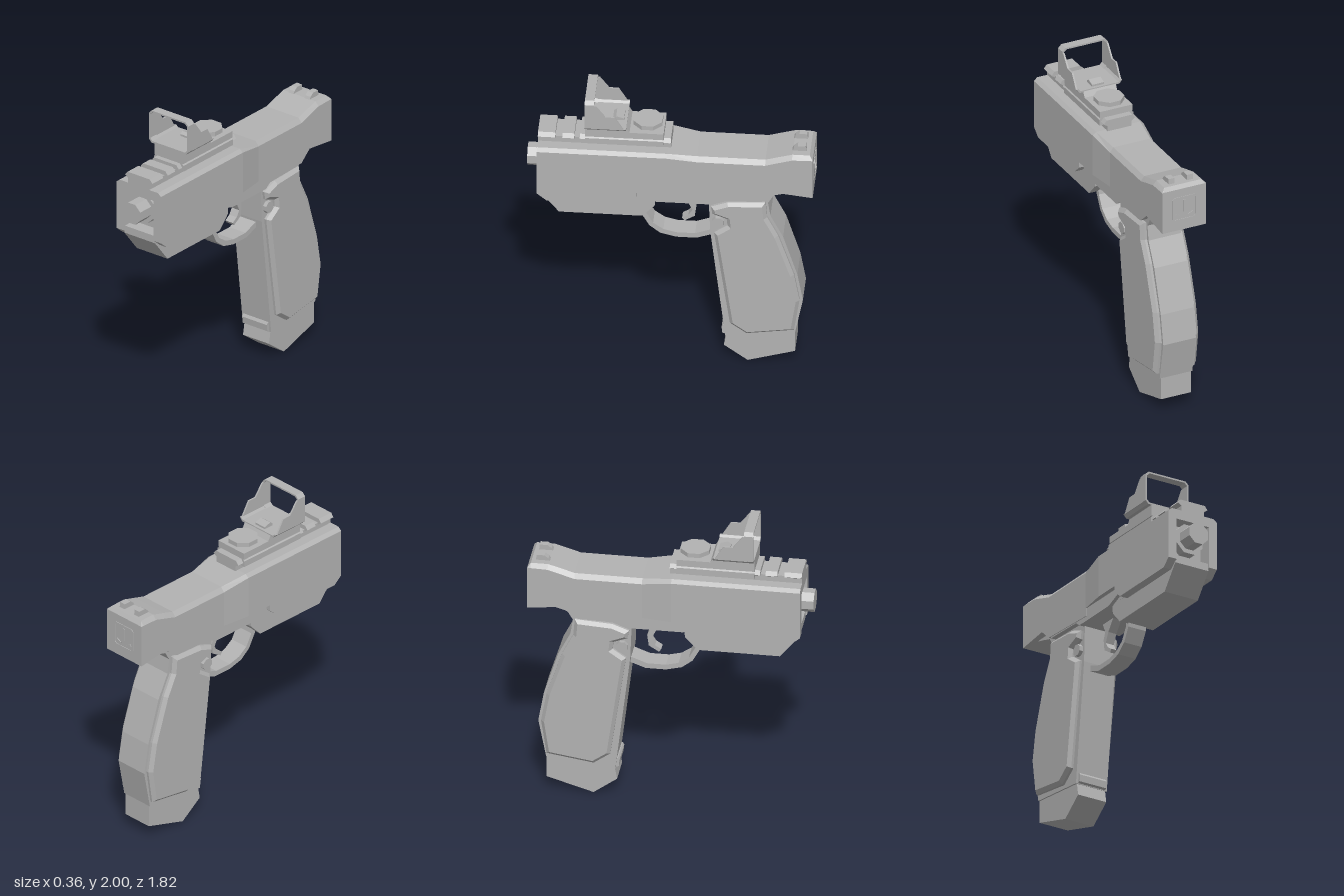
import * as THREE from 'three';

export function createModel() {
  const model = new THREE.Group();
  const grey = new THREE.MeshStandardMaterial({ color: 0xb2b2b2 });
  grey.name = 'grey';

  const add = (name, geometry) => {
    const mesh = new THREE.Mesh(geometry, grey);
    mesh.name = name;
    model.add(mesh);
    return mesh;
  };
  const shapeOf = pts => new THREE.Shape(pts.map(p => new THREE.Vector2(p[0], p[1])));

  // side profile of [z, y] points, extruded across x; bevel trims both outer rims
  const slab = (name, pts, halfWidth, x = 0, bevel = 0) => {
    const depth = 2 * (halfWidth - bevel);
    const g = new THREE.ExtrudeGeometry(shapeOf(pts), {
      depth, bevelEnabled: bevel > 0, bevelThickness: bevel, bevelSize: bevel,
      bevelOffset: -bevel, bevelSegments: 1,
    });
    g.translate(0, 0, -depth / 2).rotateY(-Math.PI / 2).translate(x, 0, 0);
    return add(name, g);
  };

  // front profile of [x, y] points, extruded along z
  const bar = (name, pts, z0, z1, hole) => {
    const shape = shapeOf(pts);
    if (hole) shape.holes.push(new THREE.Path(hole.map(p => new THREE.Vector2(p[0], p[1]))));
    const g = new THREE.ExtrudeGeometry(shape, { depth: z1 - z0, bevelEnabled: false });
    return add(name, g.translate(0, 0, z0));
  };

  const box = (name, x0, x1, y0, y1, z0, z1) =>
    add(name, new THREE.BoxGeometry(x1 - x0, y1 - y0, z1 - z0)
      .translate((x0 + x1) / 2, (y0 + y1) / 2, (z0 + z1) / 2));

  // faceted octagonal cylinder along the given axis
  const octagon = (name, radius, length, axis, x, y, z) => {
    const g = new THREE.CylinderGeometry(radius, radius, length, 8).rotateY(Math.PI / 8).toNonIndexed();
    if (axis === 'z') g.rotateX(Math.PI / 2);
    if (axis === 'x') g.rotateZ(Math.PI / 2);
    g.computeVertexNormals();
    return add(name, g.translate(x, y, z));
  };

  // skin through matching cross-sections, ordered front to back
  const loft = (name, sections) => {
    const pos = [];
    const put = (s, i) => pos.push(s.pts[i][0], s.pts[i][1], s.z);
    const n = sections[0].pts.length;
    for (let k = 0; k < sections.length - 1; k++) {
      const f = sections[k], b = sections[k + 1];
      for (let i = 0; i < n; i++) {
        const j = (i + 1) % n;
        put(f, i); put(b, i); put(f, j);
        put(f, j); put(b, i); put(b, j);
      }
    }
    const cap = (s, flip) => {
      const contour = s.pts.map(p => new THREE.Vector2(p[0], p[1]));
      for (const t of THREE.ShapeUtils.triangulateShape(contour, [])) {
        (flip ? [t[0], t[2], t[1]] : t).forEach(i => put(s, i));
      }
    };
    cap(sections[0], false);
    cap(sections[sections.length - 1], true);
    const g = new THREE.BufferGeometry();
    g.setAttribute('position', new THREE.Float32BufferAttribute(pos, 3));
    g.computeVertexNormals();
    return add(name, g);
  };

  // front shroud: an arch, open at the front and underneath
  const arch = (z, hw, tw, top, edge, bottom) => ({
    z, pts: [[-hw, bottom], [-0.12, bottom], [-0.12, 1.56], [0.12, 1.56], [0.12, bottom],
      [hw, bottom], [hw, edge], [tw, top], [-tw, top], [-hw, edge]],
  });
  loft('frontShroud', [
    arch(0.84, 0.18, 0.155, 1.625, 1.605, 1.28),
    arch(0.78, 0.18, 0.155, 1.625, 1.605, 1.23),
    arch(0.27, 0.18, 0.155, 1.625, 1.605, 1.23),
    arch(0.21, 0.18, 0.155, 1.625, 1.605, 1.285),
    arch(0.209, 0.18, 0.155, 1.625, 1.605, 1.325),
    arch(0.02, 0.18, 0.155, 1.625, 1.605, 1.325),
    arch(-0.17, 0.155, 0.13, 1.6, 1.57, 1.325),
  ]);
  box('shroudCore', -0.125, 0.125, 1.25, 1.565, -0.2, 0.74);

  // rear slide
  const block = (z, top, edge, bottom, tw = 0.13) => ({
    z, pts: [[-0.155, bottom], [0.155, bottom], [0.155, edge], [tw, top], [-tw, top], [-0.155, edge]],
  });
  loft('rearSlide', [
    block(-0.165, 1.6, 1.57, 1.27),
    block(-0.6, 1.6, 1.57, 1.29),
    block(-0.68, 1.624, 1.595, 1.36),
    block(-0.77, 1.65, 1.622, 1.35),
    block(-0.88, 1.65, 1.625, 1.337),
    block(-0.9, 1.626, 1.624, 1.335, 0.15),
  ]);

  // barrel
  octagon('barrelCollar', 0.105, 0.08, 'z', 0, 1.46, 0.76);
  octagon('barrel', 0.075, 0.2, 'z', 0, 1.46, 0.81);

  // lower frame
  slab('underBlock', [[0.83, 1.31], [0.83, 1.26], [0.705, 1.105], [0.18, 1.105], [0.1, 1.19],
    [0.09, 1.31]], 0.124);
  slab('frame', [[0.21, 1.33], [0.21, 1.285], [0.09, 1.24], [-0.25, 1.24], [-0.29, 1.27],
    [-0.58, 1.28], [-0.58, 1.33]], 0.15);

  // grip with raised panels on both sides
  slab('gripCore', [[-0.2, 1.35], [-0.24, 1.25], [-0.25, 1], [-0.285, 0.7], [-0.345, 0.19],
    [-0.785, 0.24], [-0.835, 0.5], [-0.8, 0.7], [-0.71, 0.99], [-0.63, 1.15], [-0.615, 1.25],
    [-0.65, 1.31], [-0.72, 1.33], [-0.8, 1.35]], 0.115);
  slab('gripPanels', [[-0.255, 1.21], [-0.36, 1.25], [-0.6, 1.265], [-0.61, 1.15], [-0.68, 1.01],
    [-0.78, 0.71], [-0.815, 0.51], [-0.78, 0.275], [-0.48, 0.23], [-0.375, 0.305],
    [-0.275, 1.01], [-0.36, 1.07], [-0.355, 1.12], [-0.265, 1.155]], 0.153, 0, 0.022);
  octagon('gripButton', 0.04, 0.28, 'x', 0, 1.09, -0.3);

  // magazine foot
  slab('magazineFoot', [[-0.355, 0.22], [-0.335, 0.11], [-0.485, 0], [-0.785, 0.09],
    [-0.785, 0.26]], 0.105);
  slab('magazineLip', [[-0.33, 0.26], [-0.32, 0.245], [-0.325, 0.2], [-0.36, 0.19],
    [-0.36, 0.26]], 0.1);

  // trigger and guard
  slab('triggerGuard', [[0.2, 1.13], [0.19, 1.08], [0.14, 0.99], [0.07, 0.935], [-0.03, 0.91],
    [-0.16, 0.91], [-0.27, 0.95], [-0.27, 0.99], [-0.15, 0.945], [-0.03, 0.945], [0.05, 0.965],
    [0.115, 1.01], [0.16, 1.09], [0.165, 1.13]], 0.065);
  slab('trigger', [[-0.035, 1.25], [-0.1, 1.165], [-0.13, 1.1], [-0.105, 1.06], [-0.065, 1.035],
    [-0.08, 1.015], [-0.145, 1.055], [-0.155, 1.13], [-0.135, 1.18], [-0.17, 1.25]], 0.03);

  // accessory rail
  box('railBase', -0.085, 0.085, 1.62, 1.67, 0, 0.84);
  const lug = [[-0.08, 1.655], [0.08, 1.655], [0.11, 1.675], [0.09, 1.7], [-0.09, 1.7], [-0.11, 1.675]];
  for (const [z0, z1] of [[0.73, 0.84], [0.61, 0.685], [0, 0.575]]) bar('railLug', lug, z0, z1);

  // reflex sight body
  bar('sightClamp', [[-0.12, 1.65], [0.12, 1.65], [0.12, 1.69], [0.095, 1.71], [-0.095, 1.71],
    [-0.12, 1.69]], 0.045, 0.54);
  slab('sightBody', [[0.54, 1.7], [0.54, 1.78], [0.28, 1.78], [0.26, 1.745], [0.045, 1.745],
    [0.045, 1.7]], 0.115);
  octagon('sightDial', 0.098, 0.03, 'y', 0, 1.77, 0.15);
  octagon('dialNeck', 0.07, 0.03, 'y', 0, 1.75, 0.15);
  slab('emitter', [[0.37, 1.78], [0.37, 1.8], [0.35, 1.815], [0.3, 1.8], [0.3, 1.78]], 0.042);

  // sight hood: floor tray, window ring and stepped side walls
  bar('hoodFloor', [[-0.14, 1.775], [0.14, 1.775], [0.16, 1.8], [0.148, 1.8], [0.135, 1.787],
    [-0.135, 1.787], [-0.148, 1.8], [-0.16, 1.8]], 0.28, 0.54);
  const ring = (x, y0, y1, c) => [[-x + c, y0], [x - c, y0], [x, y0 + c], [x, y1 - c],
    [x - c, y1], [-x + c, y1], [-x, y1 - c], [-x, y0 + c]];
  bar('hoodWindow', ring(0.16, 1.775, 2, 0.022), 0.48, 0.54, ring(0.149, 1.787, 1.989, 0.018));
  for (const side of [-1, 1]) {
    slab('hoodWall', [[0.5, 1.795], [0.5, 1.97], [0.47, 1.97], [0.41, 1.89], [0.35, 1.89],
      [0.293, 1.795]], 0.0055, side * 0.1545);
    slab('rearSight', [[-0.76, 1.64], [-0.775, 1.665], [-0.8, 1.685], [-0.85, 1.685],
      [-0.855, 1.64]], 0.021, side * 0.065);
    // small marks on the back plate
    const mark = add('backMark', new THREE.BoxGeometry(0.04, 0.014, 0.006));
    mark.position.set(side * 0.045, 1.44, -0.902);
    mark.rotation.z = side * 0.5;
  }

  // back plate outline and slot
  bar('backPlateRim', ring(0.085, 1.405, 1.57, 0.015), -0.904, -0.898, ring(0.077, 1.413, 1.562, 0.012));
  box('backSlot', -0.008, 0.008, 1.46, 1.545, -0.904, -0.898);

  return model;
}
